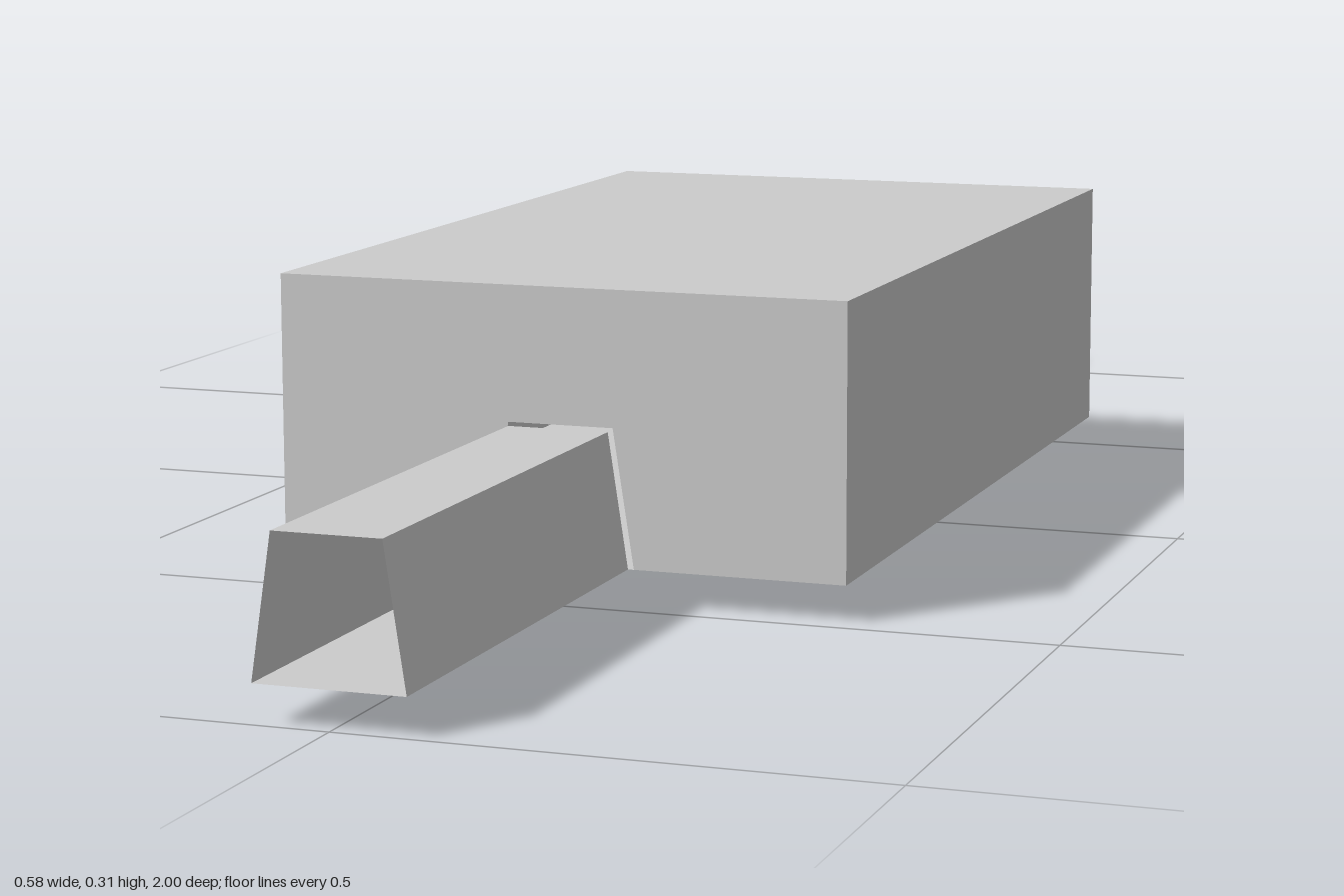
import * as THREE from 'three';

const BASE = 0.036, TOP = 0.305, HALF_W = 0.289, HALF_L = 0.48;
const material = new THREE.MeshStandardMaterial({ color: 0xcccccc, flatShading: true, side: THREE.DoubleSide });

function addMesh(parent, name, geometry, x = 0, y = 0, z = 0) {
  const mesh = new THREE.Mesh(geometry, material);
  mesh.name = name;
  mesh.position.set(x, y, z);
  parent.add(mesh);
  return mesh;
}

// End wall of the housing with a tapered notch where the duct enters
function endWall() {
  const points = [
    [-HALF_W, BASE], [-0.071, BASE], [-0.051, 0.172], [0.056, 0.172],
    [0.077, BASE], [HALF_W, BASE], [HALF_W, TOP], [-HALF_W, TOP],
  ].map(([x, y]) => new THREE.Vector2(x, y));
  return new THREE.ShapeGeometry(new THREE.Shape(points));
}

// Thin-walled duct, open at both ends, with a trapezoid section
function duct(z0, z1) {
  const section = [[-0.071, BASE], [0.071, BASE], [0.051, 0.168], [-0.051, 0.168]];
  const positions = [], index = [];
  section.forEach(([x, y], i) => {
    const [nx, ny] = section[(i + 1) % section.length];
    positions.push(x, y, z0, nx, ny, z0, nx, ny, z1, x, y, z1);
    const k = i * 4;
    index.push(k, k + 1, k + 2, k, k + 2, k + 3);
  });
  const geometry = new THREE.BufferGeometry();
  geometry.setAttribute('position', new THREE.Float32BufferAttribute(positions, 3));
  geometry.setIndex(index);
  geometry.computeVertexNormals();
  return geometry;
}

export function createModel() {
  const model = new THREE.Group();
  model.name = 'ductHousing';

  // Hollow housing made of flat panels
  const housing = new THREE.Group();
  housing.name = 'housing';
  model.add(housing);
  addMesh(housing, 'frontWall', endWall(), 0, 0, HALF_L);
  addMesh(housing, 'backWall', endWall(), 0, 0, -HALF_L).rotation.y = Math.PI;

  const slab = () => new THREE.PlaneGeometry(2 * HALF_W, 2 * HALF_L);
  addMesh(housing, 'roof', slab().rotateX(-Math.PI / 2), 0, TOP, 0);
  addMesh(housing, 'floor', slab().rotateX(Math.PI / 2), 0, BASE, 0);
  for (const [name, side] of [['leftWall', 1], ['rightWall', -1]]) {
    const wall = new THREE.PlaneGeometry(2 * HALF_L, TOP - BASE).rotateY(side * Math.PI / 2);
    addMesh(housing, name, wall, side * HALF_W, (TOP + BASE) / 2, 0);
  }

  // Ducts leaving the housing at front and back
  addMesh(model, 'frontDuct', duct(HALF_L, 1));
  addMesh(model, 'backDuct', duct(-1, -HALF_L));

  // Small peg under the floor
  addMesh(model, 'peg', new THREE.BoxGeometry(0.047, BASE, 0.045), 0.154, BASE / 2, 0.1);

  return model;
}
